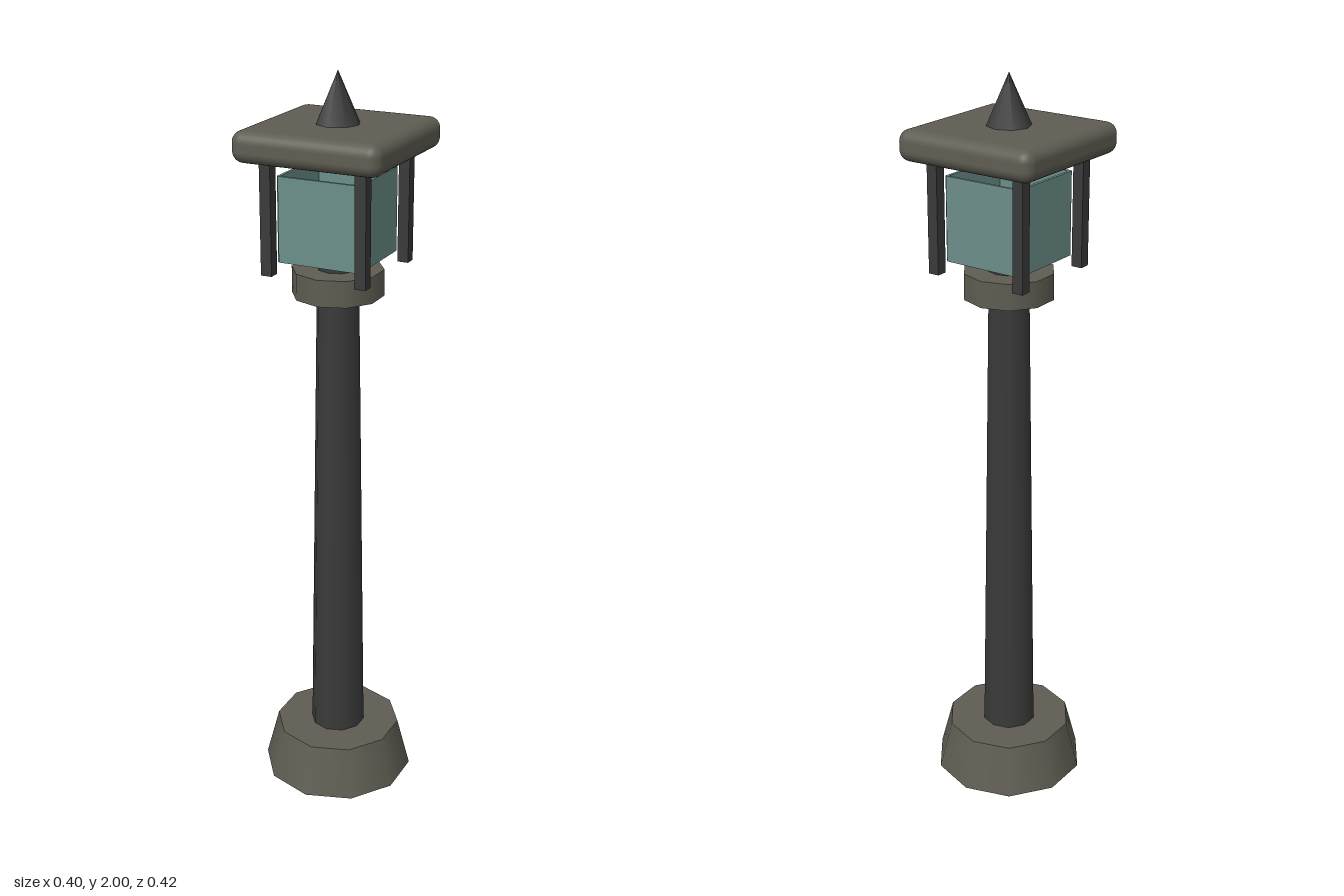
import * as THREE from 'three';
import { RoundedBoxGeometry } from 'three/addons/geometries/RoundedBoxGeometry.js';

export function createModel() {
  const model = new THREE.Group();
  model.name = 'lampPost';

  const material = (name, color) => {
    const m = new THREE.MeshStandardMaterial({ color });
    m.name = name;
    return m;
  };
  const stone = material('stone', 0x5f5d52);
  const iron = material('iron', 0x3a3a3b);
  const glass = material('glass', 0x6b8e8a);
  const glow = material('glow', 0xc4602f);

  const add = (name, geometry, mat, x, y, z) => {
    const mesh = new THREE.Mesh(geometry, mat);
    mesh.name = name;
    mesh.position.set(x, y, z);
    model.add(mesh);
    return mesh;
  };
  // Tapered round part standing between two heights
  const column = (name, rTop, rBottom, y0, y1, sides, mat) =>
    add(name, new THREE.CylinderGeometry(rTop, rBottom, y1 - y0, sides), mat, 0, (y0 + y1) / 2, 0);

  // Foot, pole and collar
  column('base', 0.174, 0.21, 0, 0.14, 10, stone);
  column('pole', 0.054, 0.075, 0.14, 1.53, 10, iron);
  column('collar', 0.12, 0.12, 1.43, 1.5, 10, stone);

  // Light inside the lantern
  column('lampLight', 0.06, 0.06, 1.53, 1.66, 10, glow);

  // Lantern corner bars
  for (const x of [-0.13, 0.13]) {
    for (const z of [-0.13, 0.13]) {
      add('cornerBar', new THREE.BoxGeometry(0.03, 0.3, 0.03), iron, x, 1.65, z);
    }
  }

  // Four glass panes, open above and below
  for (let i = 0; i < 4; i++) {
    const a = (i * Math.PI) / 2;
    const pane = add('glassPane', new THREE.BoxGeometry(0.22, 0.22, 0.008), glass,
      Math.sin(a) * 0.11, 1.64, Math.cos(a) * 0.11);
    pane.rotation.y = a;
  }

  // Roof slab and pointed finial
  add('roof', new RoundedBoxGeometry(0.4, 0.08, 0.4, 4, 0.03), stone, 0, 1.83, 0);
  add('finial', new THREE.ConeGeometry(0.062, 0.14, 8), iron, 0, 1.93, 0);

  return model;
}
